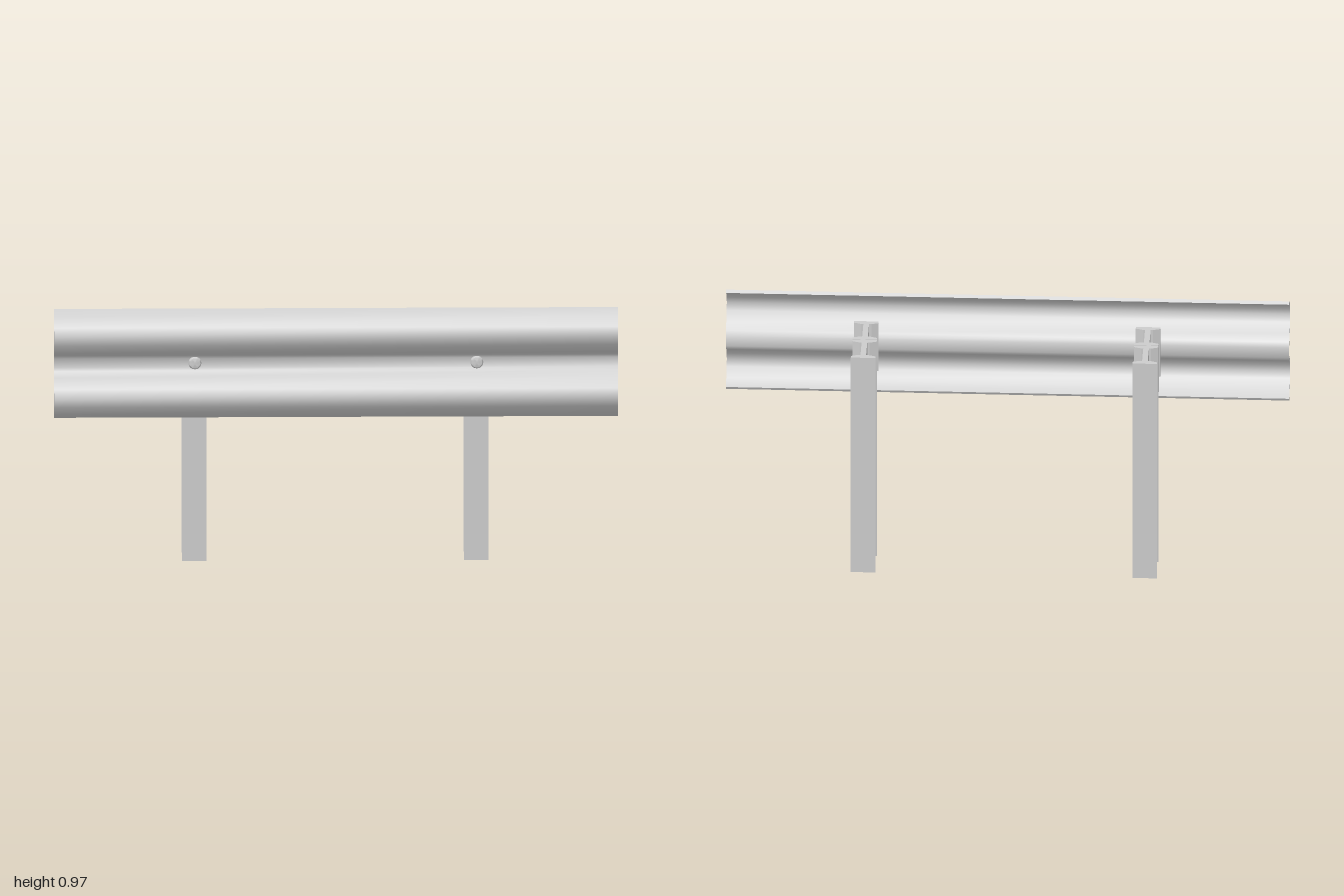
import * as THREE from 'three';
import { toCreasedNormals } from 'three/addons/utils/BufferGeometryUtils.js';

const RAIL_Y = 0.766;

// Closed W-shaped strip of constant thickness, swept along x
function railGeometry(material) {
  const half = [ // centreline of the upper wave: z, height above the rail axis
    [0.107, 0.194], [0.142, 0.174], [0.172, 0.142], [0.183, 0.114],
    [0.172, 0.083], [0.142, 0.050], [0.111, 0.033], [0.102, 0.018],
  ];
  const lower = half.map(([z, y]) => [z, -y]).reverse();
  const line = [...half, ...lower].map(([z, y]) => new THREE.Vector2(-z, RAIL_Y + y));
  const t = 0.006;
  const normal = (a, b) => new THREE.Vector2(-(b.y - a.y), b.x - a.x).normalize();
  const front = [], back = [];
  line.forEach((p, i) => {
    const n1 = normal(line[Math.max(i - 1, 0)], line[Math.max(i, 1)]);
    const last = line.length - 1;
    const n2 = normal(line[Math.min(i, last - 1)], line[Math.min(i + 1, last)]);
    const n = n1.clone().add(n2).normalize();
    const d = t / n.dot(n1);
    front.push(p.clone().addScaledVector(n, d));
    back.push(p.clone().addScaledVector(n, -d));
  });
  const shape = new THREE.Shape([...front, ...back.reverse()]);
  const geo = new THREE.ExtrudeGeometry(shape, { depth: 2, bevelEnabled: false });
  geo.rotateY(Math.PI / 2).translate(-1, 0, 0);
  return toCreasedNormals(geo, 0.8);
}

// I-section with tapered flanges, standing upright, centred on z
function beamGeometry(height) {
  const w = 0.0435, web = 0.01, d = 0.0685, tip = d - 0.0125, root = d - 0.0215;
  const quarter = [[w, d], [w, tip], [web + 0.008, root], [web, root]];
  const right = [...quarter, ...quarter.map(([x, y]) => [x, -y]).reverse()];
  const left = right.map(([x, y]) => [-x, y]).reverse();
  const shape = new THREE.Shape([...right, ...left].map(([x, y]) => new THREE.Vector2(x, y)));
  return new THREE.ExtrudeGeometry(shape, { depth: height, bevelEnabled: false })
    .rotateX(-Math.PI / 2);
}

// Button-headed bolt with a nut section behind the rail, along z
function boltGeometry() {
  const pts = [[0, 0.086], [0.02, 0.086], [0.02, 0.098], [0.012, 0.098], [0.012, 0.106],
    [0.023, 0.106], [0.023, 0.112], [0.019, 0.118], [0.011, 0.12], [0, 0.1205]];
  const geo = new THREE.LatheGeometry(pts.map(([r, z]) => new THREE.Vector2(r, z)), 20);
  return toCreasedNormals(geo.rotateX(Math.PI / 2), 0.7);
}

export function createModel() {
  const group = new THREE.Group();
  const material = new THREE.MeshStandardMaterial({ color: 0xcccccc });
  const add = (name, geo, x = 0, y = 0, z = 0) => {
    const mesh = new THREE.Mesh(geo, material);
    mesh.name = name;
    mesh.position.set(x, y, z);
    group.add(mesh);
  };

  add('rail', railGeometry());

  // Two supports: post, spacer block and bolt
  const post = beamGeometry(0.861), block = beamGeometry(0.191), bolt = boltGeometry();
  for (const [side, x] of [['left', 0.5], ['right', -0.5]]) {
    add(side + 'Post', post, x, 0, -0.1195);
    add(side + 'SpacerBlock', block, x, 0.67, 0.0205);
    add(side + 'Bolt', bolt, x, RAIL_Y, 0);
  }
  return group;
}
